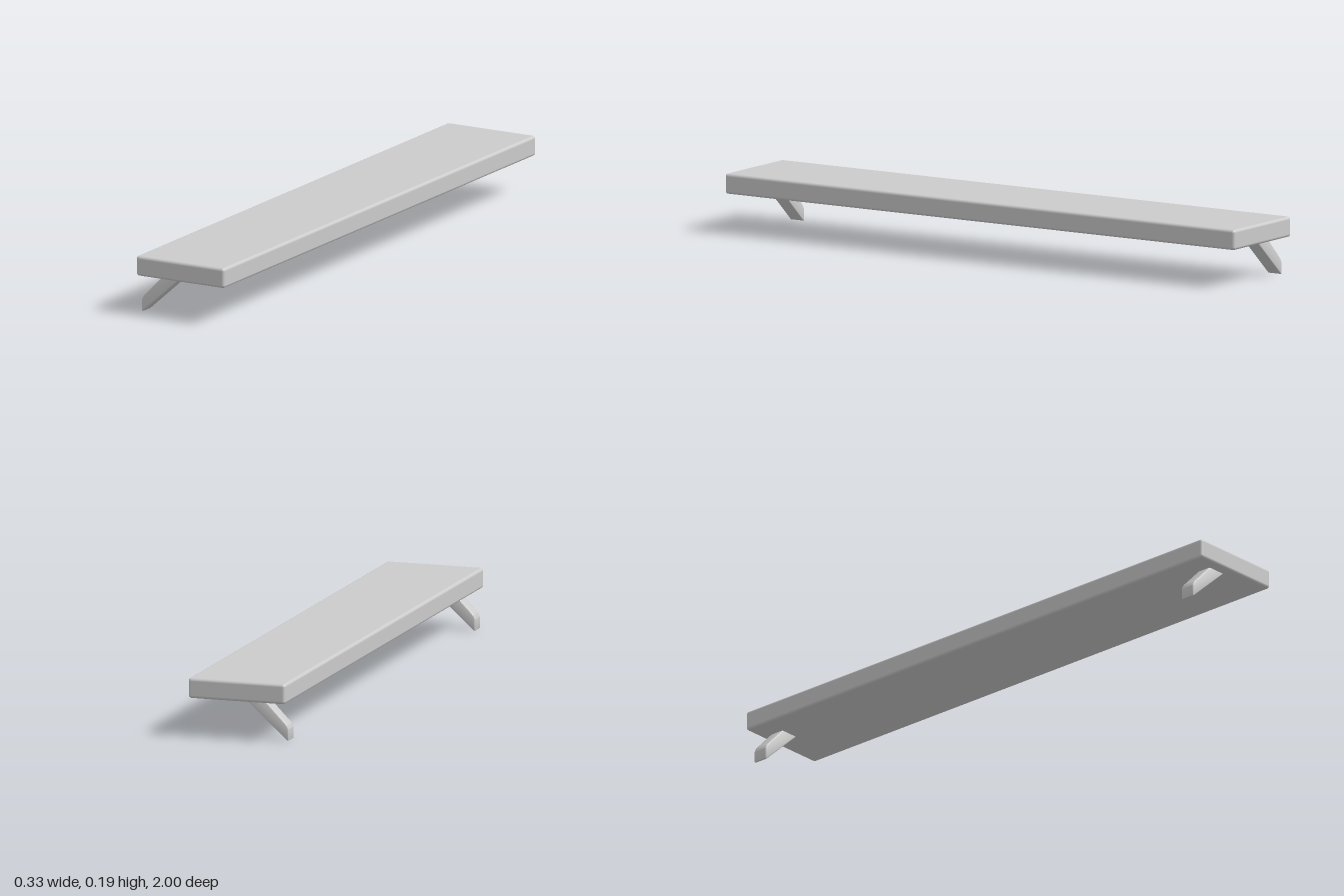
import * as THREE from 'three';
import { RoundedBoxGeometry } from 'three/addons/geometries/RoundedBoxGeometry.js';
import { toCreasedNormals } from 'three/addons/utils/BufferGeometryUtils.js';

const material = new THREE.MeshStandardMaterial({ color: 0xcccccc });

// Slanted support with a rounded foot, its top sunk slightly into the board
function supportGeometry(width, bevel) {
  const s = new THREE.Shape();
  s.moveTo(-0.167, 0.004);
  s.quadraticCurveTo(-0.167, 0, -0.161, 0.002);
  s.lineTo(-0.007, 0.14);
  s.lineTo(-0.075, 0.14);
  s.lineTo(-0.155, 0.059);
  s.quadraticCurveTo(-0.167, 0.046, -0.167, 0.036);
  s.closePath();
  const geometry = new THREE.ExtrudeGeometry(s, {
    depth: width - 2 * bevel,
    bevelEnabled: true,
    bevelThickness: bevel,
    bevelSize: bevel,
    bevelOffset: -bevel,
    bevelSegments: 3,
    curveSegments: 8,
  });
  geometry.translate(0, 0, bevel - width / 2);
  return toCreasedNormals(geometry, 0.6);
}

export function createModel() {
  const model = new THREE.Group();
  model.name = 'wallShelf';

  // Long board with softly rounded edges
  const board = new THREE.Mesh(new RoundedBoxGeometry(0.334, 0.067, 2, 4, 0.01), material);
  board.name = 'board';
  board.position.y = 0.1615;
  model.add(board);

  // One support near each end
  const geometry = supportGeometry(0.052, 0.004);
  for (const [name, z] of [['frontSupport', 0.937], ['backSupport', -0.937]]) {
    const support = new THREE.Mesh(geometry, material);
    support.name = name;
    support.position.z = z;
    model.add(support);
  }
  return model;
}
